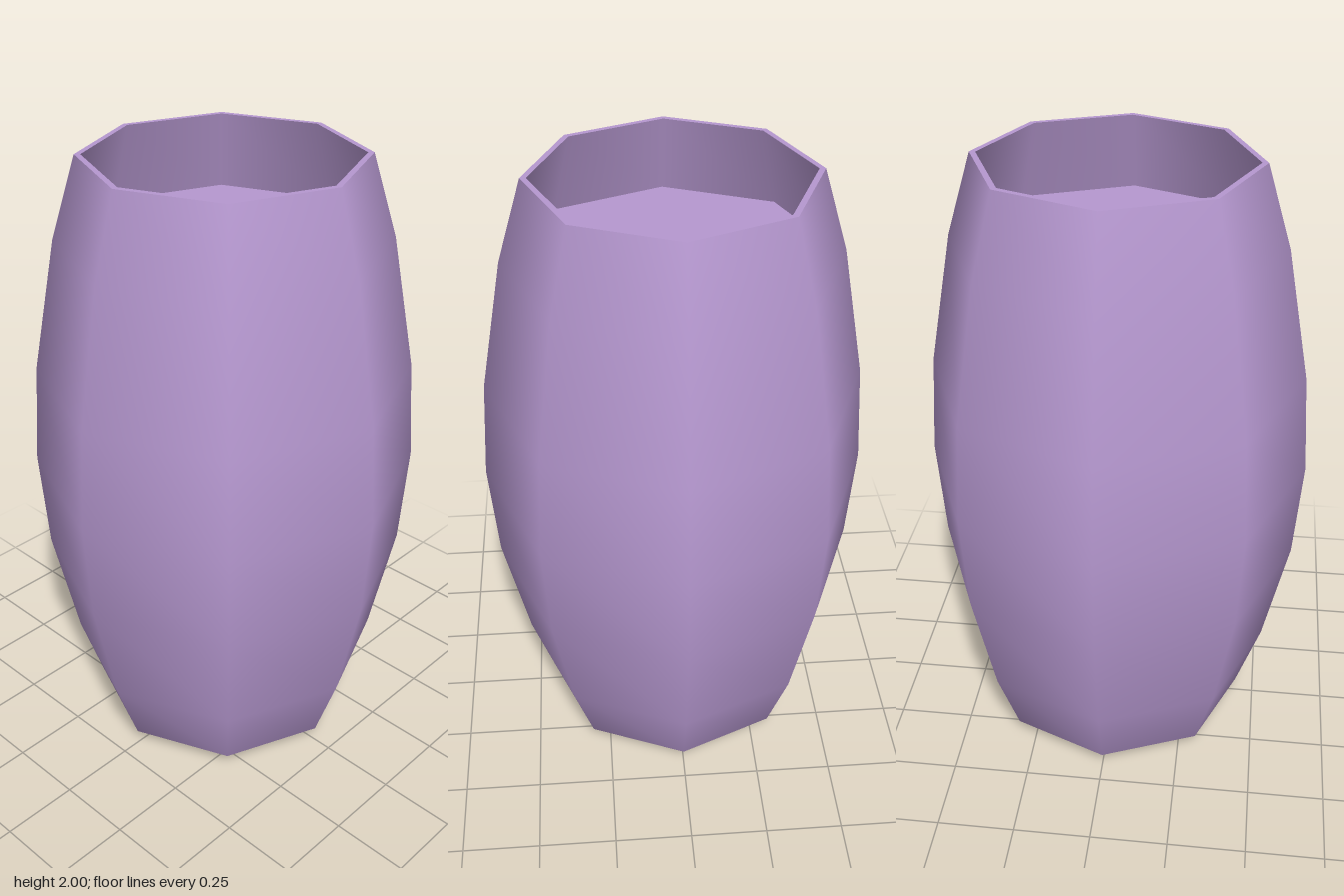
import * as THREE from 'three';

const SIDES = 8;

export function createModel() {
  const group = new THREE.Group();
  group.name = 'barrelCup';
  const material = new THREE.MeshStandardMaterial({ color: 0xb698d0 });

  const add = (name, geometry) => {
    const mesh = new THREE.Mesh(geometry, material);
    mesh.name = name;
    group.add(mesh);
    return mesh;
  };
  const lathe = (name, profile) =>
    add(name, new THREE.LatheGeometry(profile.map(([r, y]) => new THREE.Vector2(r, y)), SIDES));
  const disc = (name, radius, y, tilt) => {
    const mesh = add(name, new THREE.CircleGeometry(radius, SIDES));
    mesh.rotation.x = tilt;
    mesh.position.y = y;
  };

  // Bulging eight-sided wall with a chamfered foot
  lathe('outerWall', [
    [0.385, 0], [0.437, 0.05], [0.517, 0.28], [0.597, 0.65], [0.62, 0.98],
    [0.597, 1.31], [0.517, 1.74], [0.437, 2],
  ]);

  // Flat lip and the inside of the wall, running down to the contents
  lathe('rim', [[0.437, 2], [0.418, 2]]);
  lathe('innerWall', [[0.418, 2], [0.495, 1.74]]);

  // Flat surface of the contents, and the underside
  disc('contents', 0.495, 1.74, -Math.PI / 2);
  disc('base', 0.385, 0, Math.PI / 2);

  return group;
}
